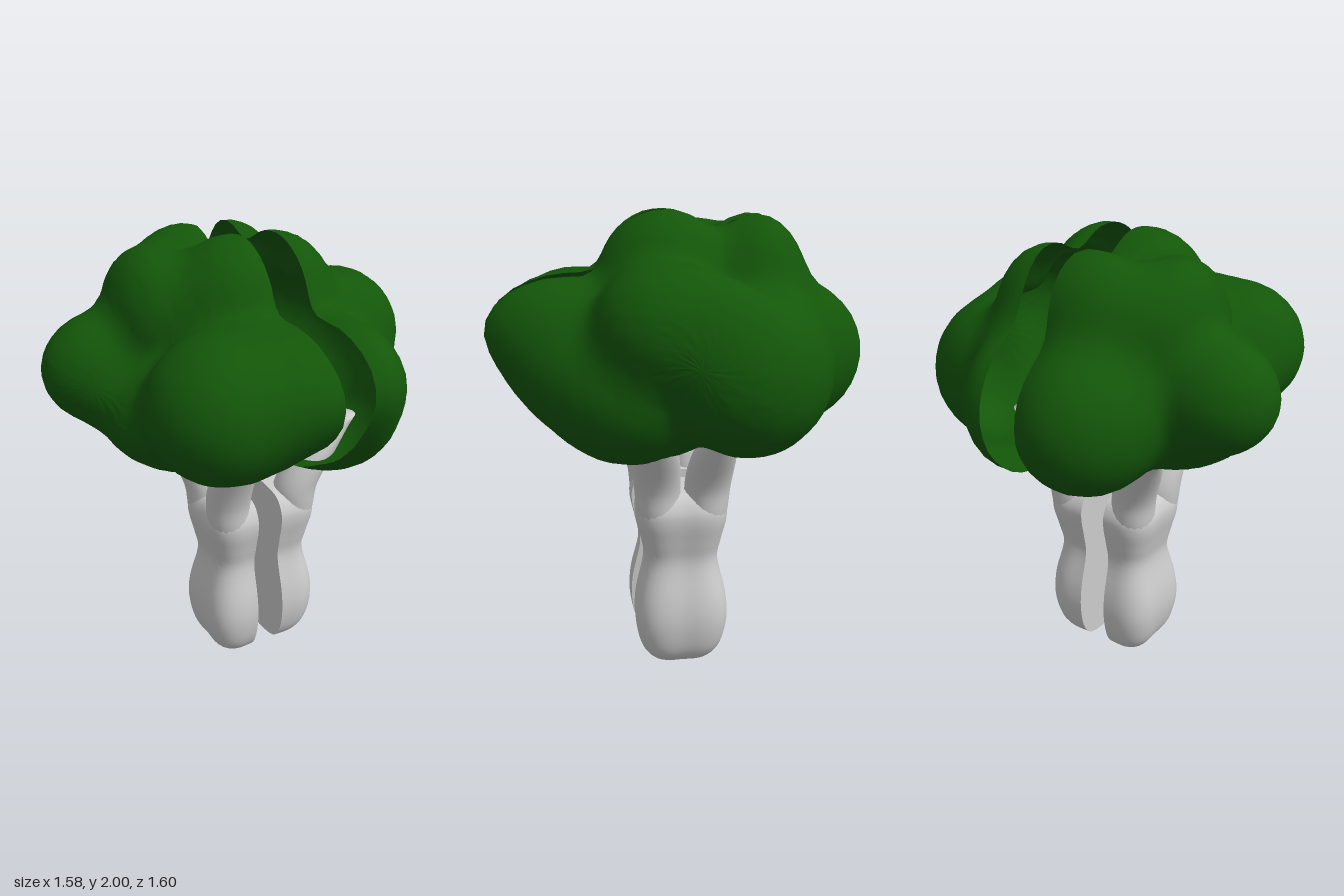
import * as THREE from 'three';
import { mergeVertices } from 'three/addons/utils/BufferGeometryUtils.js';

const stalkMat = new THREE.MeshStandardMaterial({ color: 0xcccccc, side: THREE.DoubleSide });
const floretMat = new THREE.MeshStandardMaterial({ color: 0x135609, side: THREE.DoubleSide });

// Ellipsoid lobes of each half of the crown: centre x, y, z, radius x, y, z
const rightLobes = [
  [-0.22, 1.45, 0.40, 0.37, 0.29, 0.33], // front
  [-0.34, 1.44, 0.44, 0.23, 0.25, 0.25], // front corner
  [0.00, 1.51, 0.45, 0.30, 0.22, 0.35], // front, at the cut
  [-0.51, 1.46, -0.20, 0.28, 0.24, 0.22], // side
  [-0.32, 1.67, -0.15, 0.20, 0.28, 0.28], // top, outer
  [-0.08, 1.69, -0.34, 0.27, 0.29, 0.22], // top, towards the back
  [-0.05, 1.69, 0.05, 0.28, 0.31, 0.28], // top, at the cut
  [-0.14, 1.38, -0.45, 0.29, 0.32, 0.35], // back
  [-0.25, 1.31, 0.00, 0.37, 0.27, 0.38], // underside
  [-0.06, 1.30, -0.03, 0.30, 0.27, 0.38], // underside, at the cut
];
const leftLobes = [
  [0.19, 1.52, 0.47, 0.20, 0.22, 0.33], // front
  [0.22, 1.39, 0.43, 0.23, 0.25, 0.28], // front, lower
  [0.30, 1.30, 0.21, 0.31, 0.31, 0.37], // underside
  [0.18, 1.30, 0.03, 0.28, 0.28, 0.38], // underside, at the cut
  [0.42, 1.55, 0.13, 0.26, 0.26, 0.25], // side, upper
  [0.49, 1.55, -0.02, 0.19, 0.24, 0.24], // side, upper middle
  [0.50, 1.38, -0.22, 0.29, 0.32, 0.32], // side, towards the back
  [0.32, 1.40, -0.36, 0.27, 0.30, 0.24], // back corner
  [0.14, 1.69, 0.06, 0.25, 0.31, 0.29], // top
  [0.13, 1.67, -0.32, 0.25, 0.31, 0.22], // top, towards the back
  [0.14, 1.40, -0.45, 0.23, 0.32, 0.34], // back
];

// Smoothly blended distance to a set of lobes
function field(lobes, x, y, z) {
  const k = 0.09;
  let d = 10;
  for (const [cx, cy, cz, rx, ry, rz] of lobes) {
    const e = (Math.hypot((x - cx) / rx, (y - cy) / ry, (z - cz) / rz) - 1) * Math.min(rx, ry, rz);
    const h = Math.max(k - Math.abs(d - e), 0) / k;
    d = Math.min(d, e) - h * h * k * 0.25;
  }
  return d;
}

// Half crown, an open shell: rays leave a centre on the cut plane and stop at the outer skin
function halfCrown(lobes, cutX, s) {
  const rings = 40, n = 80, cy = 1.45;
  const pos = [], idx = [];
  const addPoint = (a, t) => {
    const dx = s * Math.cos(a), dy = Math.sin(a) * Math.cos(t), dz = s * Math.sin(a) * Math.sin(t);
    let r = 1.1;
    while (r > 0.1 && field(lobes, cutX + dx * r, cy + dy * r, dz * r) > 0) r -= 0.003;
    pos.push(cutX + dx * r, cy + dy * r, dz * r);
  };
  addPoint(0, 0);
  for (let i = 1; i <= rings; i++) {
    for (let j = 0; j < n; j++) addPoint((i / rings) * Math.PI / 2, (j / n) * Math.PI * 2);
  }
  const at = (i, j) => 1 + (i - 1) * n + (j % n);
  for (let j = 0; j < n; j++) {
    idx.push(0, at(1, j), at(1, j + 1));
    for (let i = 1; i < rings; i++) {
      const a = at(i, j), b = at(i + 1, j), c = at(i + 1, j + 1), d = at(i, j + 1);
      idx.push(a, b, c, a, c, d);
    }
  }
  const geo = new THREE.BufferGeometry();
  geo.setAttribute('position', new THREE.Float32BufferAttribute(pos, 3));
  geo.setIndex(idx);
  geo.computeVertexNormals();
  return geo;
}

function addMesh(group, name, geo, mat) {
  const mesh = new THREE.Mesh(geo, mat);
  mesh.name = name;
  group.add(mesh);
}

// Weld points and shade smoothly
function weld(geo) {
  geo.deleteAttribute('normal');
  geo.deleteAttribute('uv');
  const welded = mergeVertices(geo, 1e-4);
  welded.computeVertexNormals();
  return welded;
}

// Branch that grows out of the trunk and bends towards its tip
function branch([tx, ty, tz]) {
  const c = 0.108, cz = Math.sign(tz) * c;
  const path = new THREE.CatmullRomCurve3([
    [0.07, 0.5, cz * 0.6], [0.1, 0.7, cz * 0.93], [c, 0.85, cz],
    [c + (tx - c) * 0.45, 1.02, cz + (tz - cz) * 0.45], [tx, ty, tz],
  ].map((p) => new THREE.Vector3(...p)));
  const radii = [0.03, 0.085, 0.1, 0.093, 0.06];
  const radius = new THREE.SplineCurve(radii.map((r, i) => new THREE.Vector2(r, i)));
  const geo = new THREE.CylinderGeometry(1, 1, 1, 20, 24);
  const p = geo.attributes.position;
  for (let i = 0; i < p.count; i++) {
    const t = p.getY(i) + 0.5, q = path.getPoint(t), r = radius.getPoint(t).x;
    p.setXYZ(i, q.x + r * p.getX(i), q.y, q.z + r * p.getZ(i));
  }
  return weld(geo);
}

// Half stalk, flat on its -x side
function halfStalk(name, tips, lean) {
  const group = new THREE.Group();
  group.name = name;
  const profile = [[0, 0], [0.07, 0.006], [0.13, 0.03], [0.178, 0.1], [0.202, 0.22], [0.195, 0.34],
    [0.16, 0.5], [0.174, 0.6], [0.195, 0.7], [0.19, 0.77], [0.14, 0.83], [0, 0.85]];
  const points = new THREE.SplineCurve(profile.map((p) => new THREE.Vector2(...p))).getPoints(44)
    .map((p) => new THREE.Vector2(Math.max(p.x, 0), Math.max(p.y, 0)));
  const skin = new THREE.LatheGeometry(points, 24, 0, Math.PI);
  const outline = [...points, ...points.slice(1, -1).reverse().map((p) => new THREE.Vector2(-p.x, p.y))];
  const cut = new THREE.ShapeGeometry(new THREE.Shape(outline));
  cut.rotateY(-Math.PI / 2);
  // The section is fuller at its corners, and the cut face leans outwards with height
  for (const geo of [skin, cut]) {
    const p = geo.attributes.position;
    for (let i = 0; i < p.count; i++) {
      const x = p.getX(i), z = p.getZ(i), corner = (2 * x * z) / (x * x + z * z + 1e-9);
      const f = 1 + 0.2 * corner * corner;
      p.setX(i, x < 0.001 ? -lean * p.getY(i) : x * f);
      p.setZ(i, z * f);
    }
  }
  addMesh(group, 'trunk', weld(skin), stalkMat);
  addMesh(group, 'trunkCutFace', cut, stalkMat);
  tips.forEach((tip, i) => addMesh(group, `branch${i + 1}`, branch(tip), stalkMat));
  return group;
}

export function createModel() {
  const model = new THREE.Group();
  model.name = 'halvedFloret';

  const leftStalk = halfStalk('leftStalk', [[0.33, 1.16, 0.14], [0.33, 1.16, -0.13]], 0.025);
  leftStalk.position.x = 0.14;
  const rightStalk = halfStalk('rightStalk', [[0.12, 1.13, -0.27], [0.28, 1.14, 0.26]], 0);
  rightStalk.rotation.y = Math.PI;
  model.add(leftStalk, rightStalk);

  addMesh(model, 'leftCrown', halfCrown(leftLobes, 0.13, 1), floretMat);
  addMesh(model, 'rightCrown', halfCrown(rightLobes, -0.015, -1), floretMat);
  return model;
}
